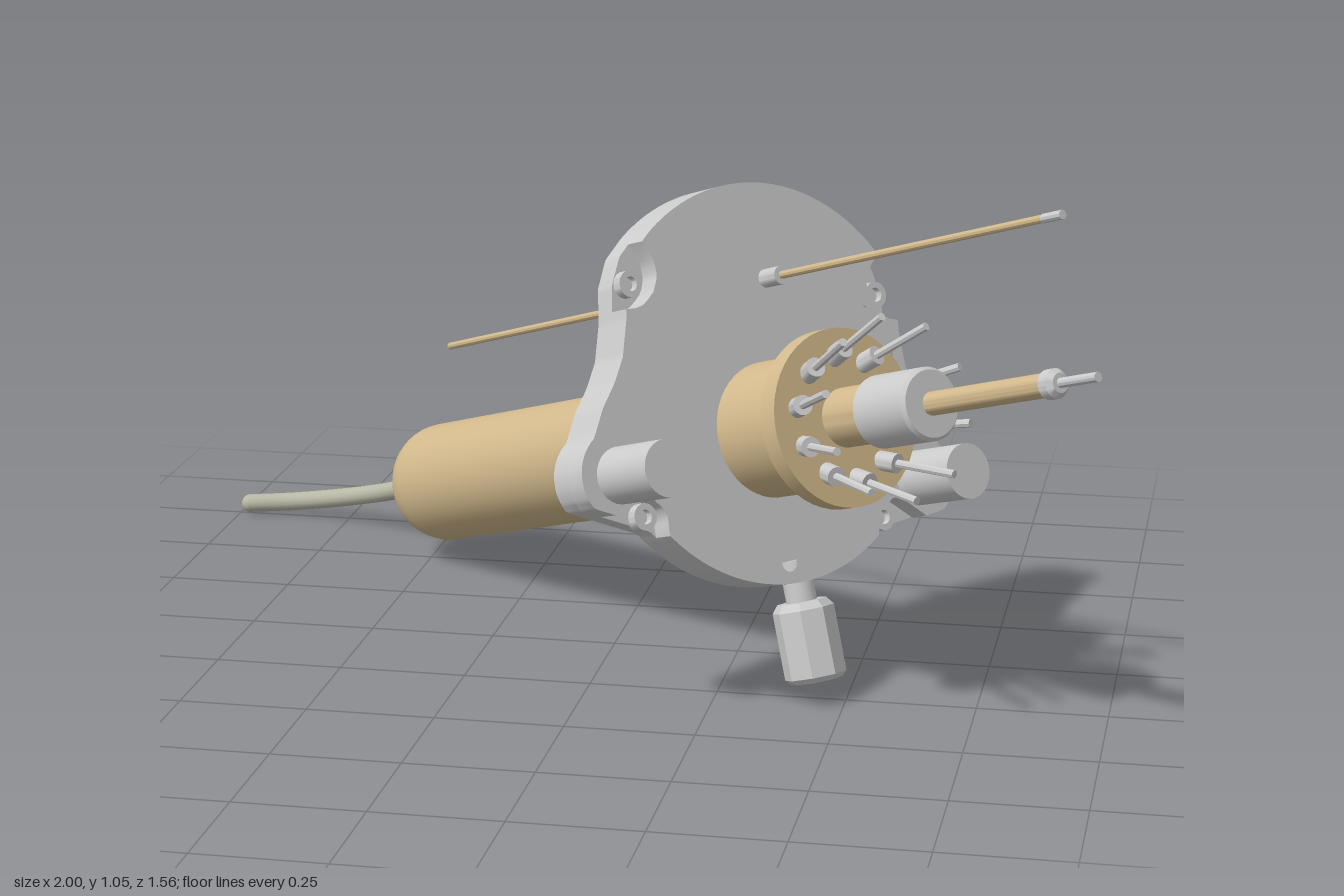
import * as THREE from 'three';
import { toCreasedNormals } from 'three/addons/utils/BufferGeometryUtils.js';

const grey = new THREE.MeshStandardMaterial({ color: 0xcccccc });
const tan = new THREE.MeshStandardMaterial({ color: 0xd2b98c });
const cableMat = new THREE.MeshStandardMaterial({ color: 0xb8b8a6 });

function add(parent, name, geometry, material) {
  const mesh = new THREE.Mesh(geometry, material);
  mesh.name = name;
  parent.add(mesh);
  return mesh;
}

// Solid of revolution along local z from [radius, z] pairs
function turned(profile, segments = 40) {
  const g = new THREE.LatheGeometry(profile.map(([r, z]) => new THREE.Vector2(r, z)), segments);
  g.rotateX(Math.PI / 2);
  return toCreasedNormals(g, 0.6);
}

// Plain cylinder along local z
const rod = (r, z0, z1, seg = 20) => turned([[0, z0], [r, z0], [r, z1], [0, z1]], seg);

const discCentre = new THREE.Vector2(0, 0.09);
const post = new THREE.Vector2(0.357, -0.09);
const bites = [];
for (const s of [-1, 1]) {
  bites.push({ c: new THREE.Vector2(s * 0.325, 0.29), r: 0.07 });
  bites.push({ c: new THREE.Vector2(s * 0.315, -0.19), r: 0.062 });
}

// Plate outline: disc with two rounded ears, right half mirrored
function plateOutline() {
  const half = [];
  const arc = (c, r, a0, a1, n) => {
    for (let i = 0; i <= n; i++) {
      const a = THREE.MathUtils.degToRad(a0 + (a1 - a0) * i / n);
      half.push(new THREE.Vector2(c.x + r * Math.cos(a), c.y + r * Math.sin(a)));
    }
  };
  arc(discCentre, 0.385, 89, 46, 12);
  for (const [x, y] of [[0.305, 0.325], [0.325, 0.27], [0.328, 0.2], [0.34, 0.13], [0.362, 0.08], [0.39, 0.035]])
    half.push(new THREE.Vector2(x, y));
  arc(post, 0.088, 50, -45, 10);
  arc(discCentre, 0.385, -47, -89, 12);
  const other = half.map(p => new THREE.Vector2(-p.x, p.y)).reverse();
  return new THREE.Shape([...half, ...other]).getSpacedPoints(260);
}

// Hole centres on rings, kept clear of posts, bites and the rim
function holeCentres() {
  const list = [];
  [0.18, 0.255, 0.33, 0.405].forEach((R, ring) => {
    const n = 12 + ring * 5;
    for (let i = 0; i < n; i++) {
      const a = (i + 0.5 * (ring % 2)) / n * Math.PI * 2 + 0.2;
      const p = new THREE.Vector2(R * Math.cos(a), R * Math.sin(a));
      const clear = bites.every(b => b.c.distanceTo(p) > b.r + 0.03)
        && Math.hypot(Math.abs(p.x) - post.x, p.y - post.y) > 0.085;
      if (clear && p.distanceTo(discCentre) < 0.35 && Math.abs(p.x) < 0.32) list.push(p);
    }
  });
  return list;
}

function plateLayer(points, holeRadius, z, depth) {
  const shape = new THREE.Shape(points);
  for (const p of holeCentres()) {
    const h = new THREE.Path();
    h.absarc(p.x, p.y, holeRadius, 0, Math.PI * 2, true);
    shape.holes.push(h);
  }
  const g = new THREE.ExtrudeGeometry(shape, { depth, bevelEnabled: false, curveSegments: 6 });
  g.translate(0, 0, z);
  return toCreasedNormals(g, 0.6);
}

function buildPlate() {
  const plate = new THREE.Group();
  plate.name = 'mountingPlate';
  const outline = plateOutline();
  // Front layer is scooped out at the four bites
  const scooped = outline.map(p => {
    const q = p.clone();
    while (bites.some(b => b.c.distanceTo(q) < b.r)) q.lerp(discCentre, 0.01);
    return q;
  });
  add(plate, 'plateBack', plateLayer(outline, 0.01, -0.09, 0.045), grey);
  add(plate, 'plateFront', plateLayer(scooped, 0.018, -0.045, 0.045), grey);
  // Screw sleeves in the scoops
  for (const b of bites) {
    const inward = b.c.clone().lerp(discCentre, 0.09);
    const g = turned([[0, -0.05], [0.026, -0.05], [0.026, -0.025], [0.014, -0.025], [0.014, -0.04], [0, -0.04]], 16);
    add(plate, 'screw', g, grey).position.set(inward.x, inward.y, 0);
  }
  // Guide posts on the ears
  for (const s of [-1, 1])
    add(plate, 'guidePost', rod(0.054, -0.02, 0.15, 28), grey).position.set(s * post.x, post.y, 0);
  plate.rotation.z = THREE.MathUtils.degToRad(-10);
  return plate;
}

export function createModel() {
  const model = new THREE.Group();
  model.name = 'probeAssembly';

  // Tilted frame: local z runs along the probe, local y is its up side
  const tilted = new THREE.Group();
  tilted.name = 'tiltedProbe';
  const w = new THREE.Vector3(0.7125, 0.3075, 0.6305).normalize();
  const u = new THREE.Vector3(0, 1, 0).cross(w).normalize();
  const v = w.clone().cross(u);
  tilted.quaternion.setFromRotationMatrix(new THREE.Matrix4().makeBasis(u, v, w));
  tilted.position.set(0.342, 0.515, 0.196);
  model.add(tilted);

  tilted.add(buildPlate());

  // Rear handle with a rounded end
  const handle = [[0, -1.235]];
  for (let i = 0; i <= 10; i++) {
    const a = i / 10 * Math.PI / 2;
    handle.push([0.02 + 0.105 * Math.sin(a), -1.13 - 0.105 * Math.cos(a)]);
  }
  handle.push([0.125, -0.07], [0, -0.07]);
  add(tilted, 'handle', turned(handle, 48), tan);

  // Front barrel, flange and neck
  add(tilted, 'barrel', turned([[0, -0.03], [0.13, -0.03], [0.13, 0.185], [0.168, 0.185], [0.168, 0.225],
    [0.056, 0.225], [0.056, 0.34], [0, 0.34]], 48), tan);

  // Needle assembly
  add(tilted, 'collar', turned([[0, 0.33], [0.068, 0.33], [0.068, 0.465], [0.062, 0.472], [0, 0.472]], 32), grey);
  add(tilted, 'stem', rod(0.022, 0.46, 0.79), tan);
  add(tilted, 'stemCap', turned([[0, 0.785], [0.027, 0.785], [0.027, 0.805], [0.018, 0.815], [0, 0.815]], 20), grey);
  add(tilted, 'needle', rod(0.009, 0.81, 0.91, 12), grey);

  // Ring of splayed pins on the flange
  const pins = 10;
  for (let i = 0; i < pins; i++) {
    const pin = new THREE.Group();
    pin.name = 'contactPin';
    add(pin, 'pinBase', rod(0.019, -0.01, 0.035, 14), grey);
    add(pin, 'pinWire', rod(0.008, 0.03, 0.165, 8), grey);
    const a = (i + 0.5) / pins * Math.PI * 2;
    pin.position.set(0.115 * Math.cos(a), 0.115 * Math.sin(a), 0.225);
    const outward = new THREE.Vector3(0.36 * Math.cos(a), 0.36 * Math.sin(a), 1).normalize();
    pin.quaternion.setFromUnitVectors(new THREE.Vector3(0, 0, 1), outward);
    tilted.add(pin);
  }

  // Long thin rod passing through the plate
  const sideRod = new THREE.Group();
  sideRod.name = 'sideRod';
  sideRod.position.set(0.055, 0.285, 0);
  add(sideRod, 'rodShaft', rod(0.0075, -1.11, 0.8, 10), tan);
  add(sideRod, 'rodTip', rod(0.0085, 0.79, 0.84, 10), grey);
  add(sideRod, 'rodSleeve', rod(0.018, -0.01, 0.05, 14), grey);
  tilted.add(sideRod);

  // Faceted thumb knob under the plate
  const knob = new THREE.Group();
  knob.name = 'thumbKnob';
  knob.position.set(0.03, 0, -0.045);
  const profile = [[0, -0.49], [0.05, -0.49], [0.06, -0.48], [0.06, -0.35], [0.048, -0.335], [0, -0.335]];
  const grip = new THREE.LatheGeometry(profile.map(([r, y]) => new THREE.Vector2(r, y)), 8);
  add(knob, 'knobGrip', toCreasedNormals(grip, 0.2), grey);
  const neck = new THREE.CylinderGeometry(0.03, 0.03, 0.1, 20);
  add(knob, 'knobStem', neck, grey).position.y = -0.305;
  tilted.add(knob);

  // Curved cable leaving the handle
  const path = new THREE.CatmullRomCurve3([
    [-0.5, 0.152, -0.55], [-0.57, 0.122, -0.61], [-0.67, 0.08, -0.69], [-0.78, 0.048, -0.742],
    [-0.89, 0.028, -0.763], [-0.98, 0.021, -0.757],
  ].map(p => new THREE.Vector3(...p)));
  add(model, 'cable', new THREE.TubeGeometry(path, 40, 0.02, 14), cableMat);
  add(model, 'cableEnd', new THREE.SphereGeometry(0.02, 14, 10), cableMat).position.set(-0.98, 0.021, -0.757);

  return model;
}
